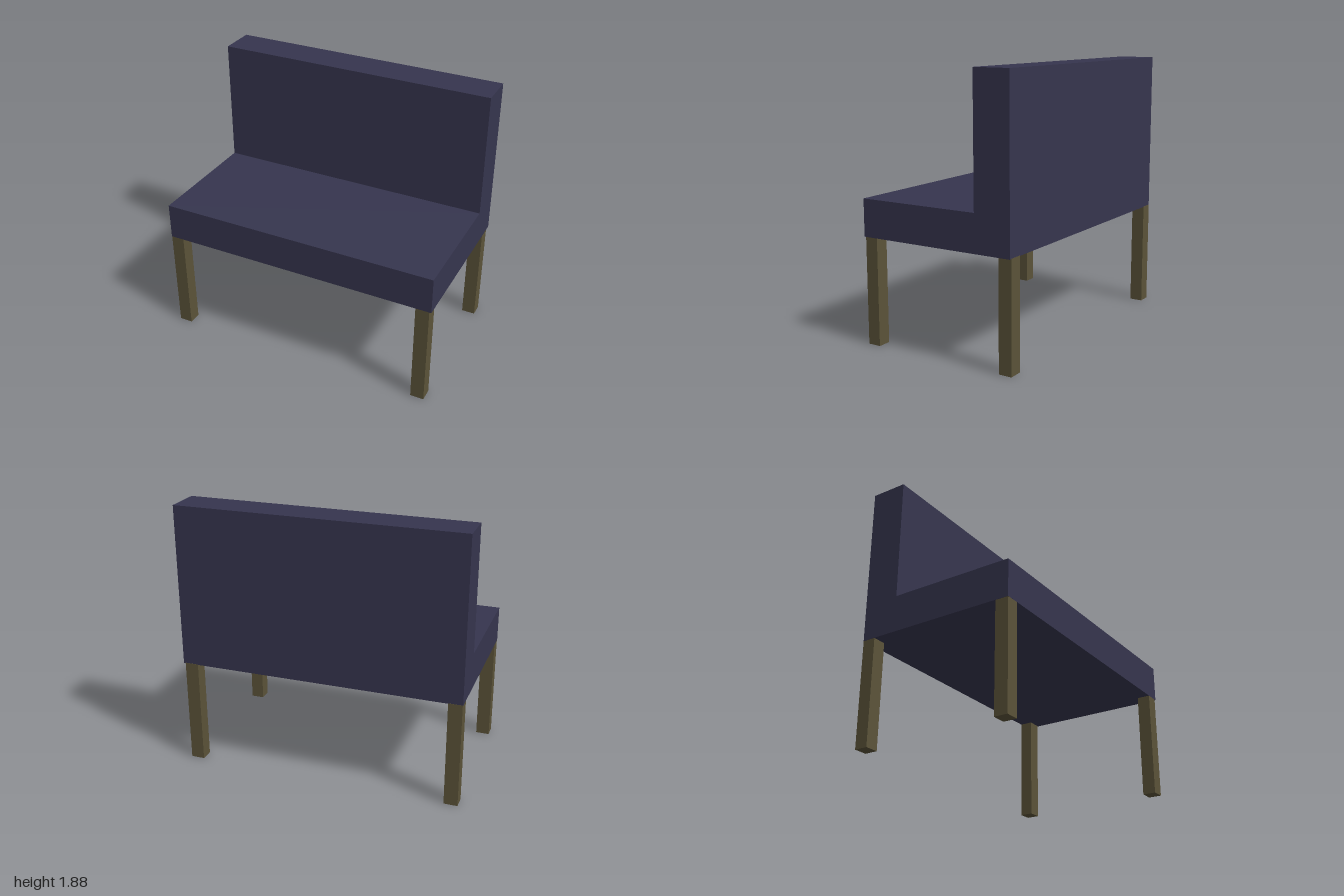
import * as THREE from 'three';

export function createModel() {
  const model = new THREE.Group();
  const fabric = new THREE.MeshStandardMaterial({ color: 0x36354e });
  const wood = new THREE.MeshStandardMaterial({ color: 0x5b5339 });

  // Upholstered body: one L-shaped side profile (x = depth, y = height) swept across the width
  const profile = new THREE.Shape([
    [-0.57, 0.747], [0.573, 0.747], [0.573, 1.005],
    [-0.31, 1.005], [-0.31, 1.885], [-0.57, 1.885],
  ].map(([z, y]) => new THREE.Vector2(z, y)));
  const bodyGeometry = new THREE.ExtrudeGeometry(profile, { depth: 2, bevelEnabled: false });
  bodyGeometry.rotateY(-Math.PI / 2).translate(1, 0, 0);
  const body = new THREE.Mesh(bodyGeometry, fabric);
  body.name = 'seatAndBackrest';
  model.add(body);

  // Four square legs; the left pair is set in slightly from the end
  const legHeight = 0.75;
  const legGeometry = new THREE.BoxGeometry(0.096, legHeight, 0.093);
  for (const [side, x] of [['Left', 0.938], ['Right', -0.95]]) {
    for (const [end, z] of [['front', 0.526], ['back', -0.525]]) {
      const leg = new THREE.Mesh(legGeometry, wood);
      leg.name = `${end}${side}Leg`;
      leg.position.set(x, legHeight / 2, z);
      model.add(leg);
    }
  }
  return model;
}
